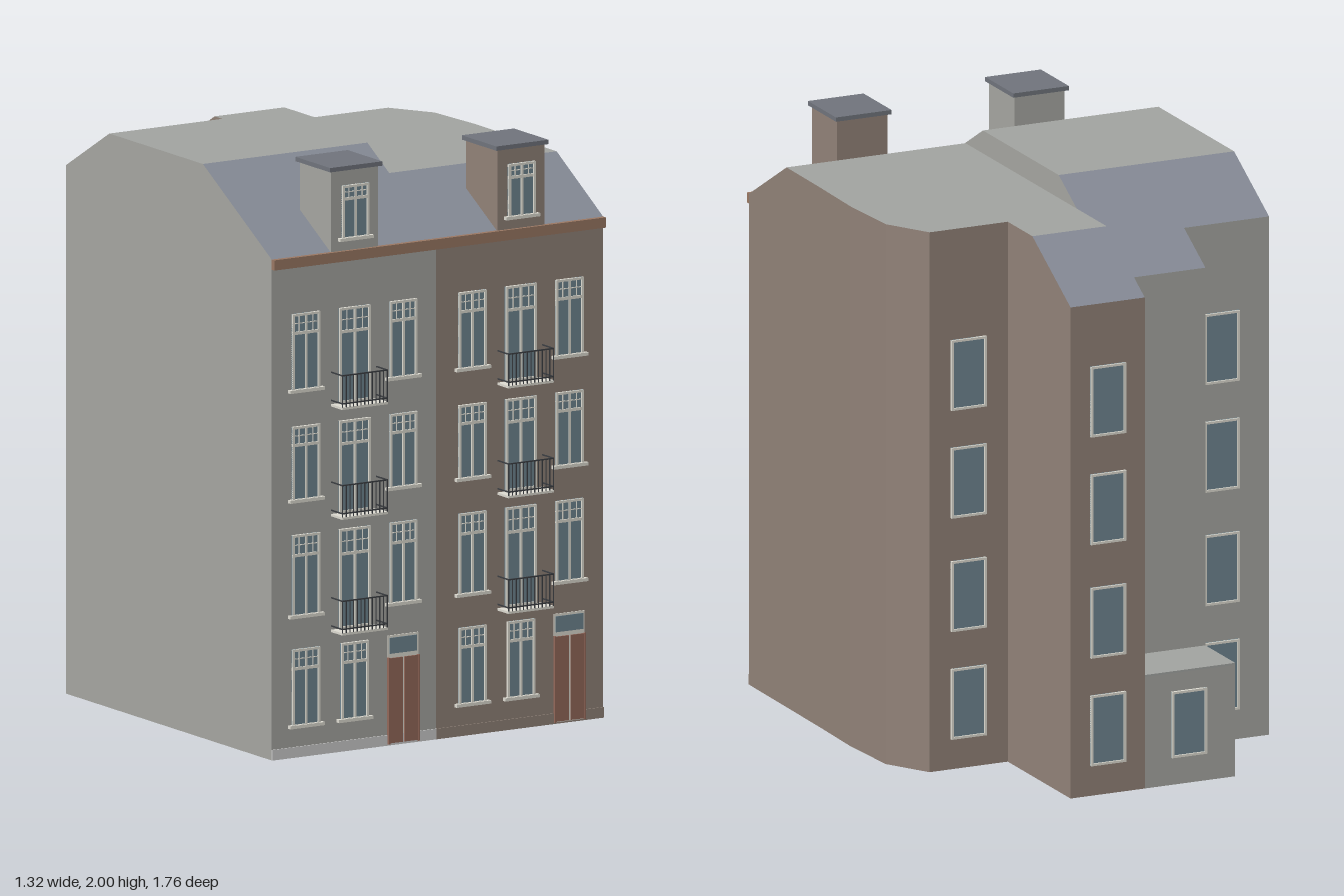
import * as THREE from 'three';

const mat = (color, side = THREE.FrontSide) => new THREE.MeshStandardMaterial({ color, side });
const M = {
  grey: mat(0xa6a6a1), brown: mat(0x918278), slate: mat(0x858a95), flat: mat(0xa2a4a1),
  trim: mat(0xdedcd2), glass: mat(0x6f8590), door: mat(0x94685a), rail: mat(0x3b3e42),
  cornice: mat(0x9a7863), plinth: mat(0xcccccc), cap: mat(0x70747c),
};
const unit = new THREE.BoxGeometry(1, 1, 1);

// Box given by its minimum and maximum corners
function box(parent, name, material, x0, x1, y0, y1, z0, z1) {
  const m = new THREE.Mesh(unit, material);
  m.name = name;
  m.scale.set(x1 - x0, y1 - y0, z1 - z0);
  m.position.set((x0 + x1) / 2, (y0 + y1) / 2, (z0 + z1) / 2);
  parent.add(m);
}

function soup(name, tris, material) {
  const g = new THREE.BufferGeometry();
  g.setAttribute('position', new THREE.Float32BufferAttribute(tris.flat(2), 3));
  g.computeVertexNormals();
  const m = new THREE.Mesh(g, material);
  m.name = name;
  return m;
}

// House shell: footprint [x, z] counter-clockwise from above; profile [z, y] of the roof, front to back
function house(name, footprint, profile, wallMat) {
  const g = new THREE.Group();
  g.name = name;
  const height = z => {
    for (let i = 1; i < profile.length; i++) {
      const [za, ya] = profile[i - 1], [zb, yb] = profile[i];
      if (z >= zb - 1e-6) return ya + (yb - ya) * (za - z) / (za - zb);
    }
    return profile.at(-1)[1];
  };
  // Split the outline wherever the roof changes slope
  const pts = [];
  footprint.forEach((a, i) => {
    const b = footprint[(i + 1) % footprint.length];
    pts.push(a);
    profile.map(p => (p[0] - a[1]) / (b[1] - a[1]))
      .filter(t => t > 1e-4 && t < 1 - 1e-4).sort((p, q) => p - q)
      .forEach(t => pts.push([a[0] + t * (b[0] - a[0]), a[1] + t * (b[1] - a[1])]));
  });
  const cap = (poly, y) => THREE.ShapeUtils
    .triangulateShape(poly.map(p => new THREE.Vector2(p[0], -p[1])), [])
    .map(f => f.map(i => [poly[i][0], y(poly[i][1]), poly[i][1]]));

  const walls = cap(pts, () => 0).map(t => t.reverse());
  pts.forEach((a, i) => {
    const b = pts[(i + 1) % pts.length];
    const a0 = [a[0], 0, a[1]], b0 = [b[0], 0, b[1]];
    const a1 = [a[0], height(a[1]), a[1]], b1 = [b[0], height(b[1]), b[1]];
    walls.push([a0, b0, b1], [a0, b1, a1]);
  });
  g.add(soup('walls', walls, wallMat));
  ['frontSlope', 'flatRoof', 'backSlope'].forEach((part, i) => {
    const band = pts.filter(p => p[1] <= profile[i][0] + 1e-4 && p[1] >= profile[i + 1][0] - 1e-4);
    g.add(soup(part, cap(band, height), i === 1 ? M.flat : M.slate));
  });
  return g;
}

// Window facing +z, its base centre at the origin
function windowUnit(w, h, style) {
  const g = new THREE.Group(), r = w / 2, f = 0.008;
  g.name = 'window';
  const bar = (x0, x1, y0, y1, d = 0.01) => box(g, 'windowFrame', M.trim, x0, x1, y0, y1, -0.002, d);
  box(g, 'glass', M.glass, -r, r, 0, h, -0.002, 0.004);
  bar(-r, -r + f, 0, h);
  bar(r - f, r, 0, h);
  bar(-r, r, h - f, h);
  bar(-r, r, 0, f);
  if (style === 'plain') return g;
  const t = h * 0.75;
  bar(-0.004, 0.004, 0, h, 0.009);
  bar(-r, r, t - 0.005, t + 0.005, 0.009);
  bar(-r, r, (t + h) / 2 - 0.0015, (t + h) / 2 + 0.0015, 0.007);
  for (const s of [-1, 1]) bar(s * r / 2 - 0.0015, s * r / 2 + 0.0015, t, h, 0.007);
  if (style === 'sill') box(g, 'sill', M.trim, -r - 0.014, r + 0.014, -0.004, 0.007, -0.002, 0.016);
  return g;
}

// Balcony with an open railing, floor at the origin
function balcony() {
  const g = new THREE.Group(), r = 0.09, d = 0.07, t = 0.003;
  g.name = 'balcony';
  box(g, 'balconyFloor', M.trim, -r, r, -0.008, 0, 0, d);
  for (const y of [0.012, 0.108]) {
    box(g, 'frontRail', M.rail, -r, r, y - t / 2, y + t, d - t, d);
    for (const s of [-1, 1])
      box(g, 'sideRail', M.rail, s * (r - t / 2) - t / 2, s * (r - t / 2) + t / 2, y - t / 2, y + t, 0, d);
  }
  for (let i = 0; i <= 12; i++) {
    const x = -r + t / 2 + i * (2 * r - t) / 12;
    box(g, 'baluster', M.rail, x - t / 2, x + t / 2, 0, 0.11, d - t, d);
  }
  return g;
}

// Double door with a transom light
function door() {
  const g = new THREE.Group();
  g.name = 'frontDoor';
  box(g, 'doorFrame', M.trim, -0.06, 0.06, 0.005, 0.375, -0.002, 0.004);
  for (const s of [-1, 1])
    box(g, 'doorLeaf', M.door, s * 0.03 - 0.026, s * 0.03 + 0.026, 0.008, 0.298, 0, 0.009);
  for (const s of [-1, 1]) box(g, 'doorJamb', M.door, s * 0.058 - 0.003, s * 0.058 + 0.003, 0.005, 0.3, 0, 0.012);
  box(g, 'transomLight', M.glass, -0.054, 0.054, 0.313, 0.367, 0, 0.007);
  return g;
}

export function createModel() {
  const model = new THREE.Group();
  model.name = 'townHouses';
  const FRONT = 0.805;
  const place = (part, x, y, z, back = false) => {
    part.position.set(x, y, z);
    if (back) part.rotation.y = Math.PI;
    model.add(part);
  };

  // Two adjoining houses with rear wings
  model.add(house('greyHouse',
    [[-0.66, FRONT], [-0.01, FRONT], [-0.01, -0.645], [-0.345, -0.645], [-0.345, -0.48], [-0.66, -0.48]],
    [[FRONT, 1.71], [0.375, 1.96], [-0.21, 1.96], [-0.645, 1.71]], M.grey));
  model.add(house('brownHouse',
    [[-0.01, FRONT], [0.65, FRONT], [0.655, 0.25], [0.66, 0], [0.645, -0.24], [0.555, -0.39],
      [0.265, -0.39], [0.265, -0.875], [-0.01, -0.875]],
    [[FRONT, 1.71], [0.51, 1.88], [-0.58, 1.88], [-0.875, 1.71]], M.brown));

  // Low rear extension
  box(model, 'rearExtension', M.grey, -0.345, -0.01, 0, 0.388, -0.875, -0.64);
  box(model, 'extensionRoof', M.flat, -0.345, -0.01, 0.388, 0.395, -0.875, -0.64);

  // Cornice and plinths
  box(model, 'cornice', M.cornice, -0.66, 0.65, 1.675, 1.71, 0.79, 0.822);
  box(model, 'greyPlinth', M.plinth, -0.66, -0.01, 0, 0.036, 0.79, 0.809);
  box(model, 'brownPlinth', M.brown, -0.01, 0.65, 0, 0.036, 0.79, 0.809);

  // Front openings, the same in both houses
  const rows = [[0.105, 0.37], [0.48, 0.76], [0.875, 1.13], [1.25, 1.515]];
  for (const [x0, wall] of [[-0.335, M.grey], [0.322, M.brown]]) {
    rows.forEach(([y0, y1], i) => {
      place(windowUnit(0.108, y1 - y0, 'sill'), x0 - 0.192, y0, FRONT);
      if (i === 0) {
        place(windowUnit(0.108, y1 - y0, 'sill'), x0, y0, FRONT);
        place(door(), x0 + 0.192, 0, FRONT);
      } else {
        place(windowUnit(0.108, y1 - y0, 'sill'), x0 + 0.192, y0, FRONT);
        place(windowUnit(0.122, y1 - y0 + 0.06, 'tall'), x0, y0 - 0.06, FRONT);
        place(balcony(), x0, y0 - 0.06, FRONT);
      }
    });
    // Dormer
    box(model, 'dormer', wall, x0 - 0.093, x0 + 0.093, 1.7, 1.985, 0.615, 0.81);
    box(model, 'dormerRoof', M.cap, x0 - 0.103, x0 + 0.103, 1.985, 2, 0.603, 0.82);
    place(windowUnit(0.105, 0.185, 'sill'), x0, 1.748, 0.81);
  }

  // Plain windows at the back
  for (const [x, z] of [[-0.482, -0.48], [0.128, -0.875], [0.412, -0.39]])
    for (const [y0] of rows) place(windowUnit(0.13, 0.245, 'plain'), x, y0, z, true);
  place(windowUnit(0.13, 0.23, 'plain'), -0.172, 0.095, -0.875, true);

  return model;
}
